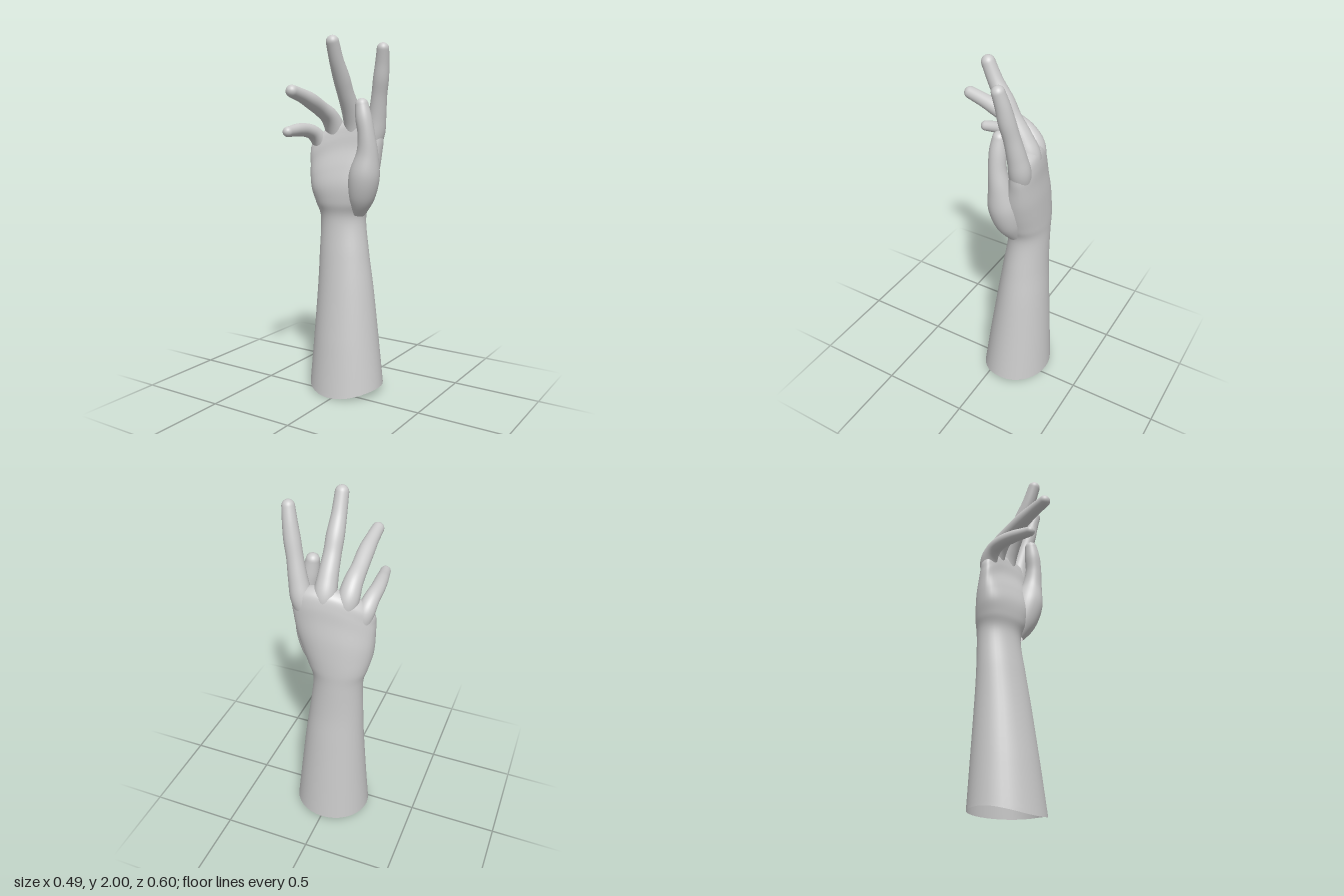
import * as THREE from 'three';

const SKIN = new THREE.MeshStandardMaterial({ color: 0xcccccc, side: THREE.DoubleSide });
const SIDES = 36;

// Smooth interpolation through rows of key values, t from 0 to 1
function sample(keys, t) {
  const f = t * (keys.length - 1);
  const i = Math.min(Math.floor(f), keys.length - 2);
  const u = f - i;
  const row = k => keys[Math.max(0, Math.min(keys.length - 1, k))];
  const [a, b, c, d] = [row(i - 1), row(i), row(i + 1), row(i + 2)];
  return b.map((_, k) => b[k] + 0.5 * u * (c[k] - a[k]
    + u * (2 * a[k] - 5 * b[k] + 4 * c[k] - d[k]
    + u * (3 * (b[k] - c[k]) + d[k] - a[k]))));
}

// Skin over a list of rings with equal point counts
function loft(name, rings) {
  const n = rings[0].length;
  const index = [];
  for (let j = 0; j < rings.length - 1; j++) {
    for (let i = 0; i < n; i++) {
      const a = j * n + i, b = j * n + (i + 1) % n;
      index.push(a, a + n, b, b, a + n, b + n);
    }
  }
  const geometry = new THREE.BufferGeometry().setFromPoints(rings.flat());
  geometry.setIndex(index);
  geometry.computeVertexNormals();
  const mesh = new THREE.Mesh(geometry, SKIN);
  mesh.name = name;
  return mesh;
}

// Forearm, wrist and palm in one skin
// y, right x, left x, back z, front z, palm shaping, squareness exponent
const ARM = [
  [0.045, -0.235, 0.2, -0.3, 0.095, 0, 1],
  [0.3, -0.22, 0.168, -0.285, 0.06, 0, 1],
  [0.6, -0.205, 0.13, -0.265, 0.02, 0, 1],
  [0.8, -0.2, 0.1, -0.25, -0.006, 0, 1],
  [1.0, -0.2, 0.075, -0.245, -0.03, 0, 1],
  [1.1, -0.222, 0.105, -0.247, -0.012, 0.1, 0.95],
  [1.2, -0.238, 0.135, -0.247, -0.01, 0.35, 0.9],
  [1.3, -0.245, 0.155, -0.243, -0.035, 0.6, 0.85],
  [1.4, -0.246, 0.165, -0.232, -0.07, 0.85, 0.8],
  [1.48, -0.245, 0.172, -0.225, -0.085, 1, 0.8],
  [1.535, -0.235, 0.165, -0.21, -0.1, 1, 0.8],
  [1.56, -0.17, 0.11, -0.18, -0.13, 1, 0.9],
  [1.563, -0.03, -0.03, -0.155, -0.155, 1, 1],
];

function armAndPalm() {
  const rings = [];
  const steps = 84;
  for (let j = 0; j <= steps; j++) {
    const [y, x0, x1, z0, z1, w, e] = sample(ARM, j / steps);
    const rim = Math.max(0, 1 - y / 0.3);
    const ring = [];
    for (let i = 0; i < SIDES; i++) {
      const a = (i / SIDES) * Math.PI * 2;
      const c = Math.cos(a), s = Math.sin(a);
      const px = Math.sign(c) * Math.abs(c) ** e;
      const pz = Math.sign(s) * Math.abs(s) ** e;
      const front = Math.max(0, s) ** 2;
      const x = (x0 + x1) / 2 + px * (x1 - x0) / 2;
      // The palm arches forward and slopes down to the little finger, with a hollow in front
      const z = (z0 + z1) / 2 + pz * (z1 - z0) / 2
        + w * (0.5 * x * x - 0.16 * x) - w * 0.012 * front ** 3;
      ring.push(new THREE.Vector3(x, y - w * 1.6 * (x - 0.03) ** 2 - rim * 0.05 * front, z));
    }
    rings.push(ring);
  }
  return loft('forearmAndPalm', rings);
}

// Digit: keys of x, y, z, radius from the buried root to the centre of the round tip
function digit(name, keys) {
  const rings = [];
  const steps = 36, capSteps = 8;
  const normal = new THREE.Vector3(1, 0, 0);
  const addRing = (centre, tangent, r) => {
    const n = normal.clone().addScaledVector(tangent, -normal.dot(tangent)).normalize();
    const b = tangent.clone().cross(n);
    rings.push(Array.from({ length: SIDES }, (_, i) => {
      const a = (i / SIDES) * Math.PI * 2;
      return centre.clone().addScaledVector(n, r * Math.cos(a)).addScaledVector(b, -r * Math.sin(a));
    }));
  };
  const at = t => new THREE.Vector3(...sample(keys, t).slice(0, 3));
  const tangentAt = t => at(Math.min(1, t + 0.01)).sub(at(Math.max(0, t - 0.01))).normalize();
  for (let j = 0; j <= steps; j++) {
    const t = j / steps;
    addRing(at(t), tangentAt(t), sample(keys, t)[3]);
  }
  const tip = at(1), dir = tangentAt(1), r = keys[keys.length - 1][3];
  for (let j = 1; j <= capSteps; j++) {
    const a = (j / capSteps) * Math.PI / 2;
    addRing(tip.clone().addScaledVector(dir, r * Math.sin(a)), dir, r * Math.cos(a));
  }
  return loft(name, rings);
}

const DIGITS = {
  thumb: [
    [0.05, 1.04, -0.11, 0.04], [0.085, 1.14, -0.09, 0.075], [0.112, 1.26, -0.075, 0.085],
    [0.135, 1.38, -0.065, 0.06], [0.136, 1.48, -0.052, 0.047], [0.122, 1.57, -0.047, 0.045],
    [0.11, 1.64, -0.048, 0.036],
  ],
  indexFinger: [
    [0.08, 1.36, -0.155, 0.05], [0.118, 1.48, -0.17, 0.058], [0.14, 1.58, -0.163, 0.05],
    [0.161, 1.69, -0.146, 0.043], [0.18, 1.78, -0.13, 0.043], [0.194, 1.86, -0.117, 0.038],
    [0.207, 1.933, -0.1, 0.033],
  ],
  middleFinger: [
    [0, 1.4, -0.155, 0.05], [0, 1.51, -0.158, 0.06], [0, 1.6, -0.12, 0.053],
    [0, 1.7, -0.06, 0.046], [0, 1.78, -0.018, 0.046], [0.001, 1.87, 0.034, 0.039],
    [0.003, 1.965, 0.076, 0.035],
  ],
  ringFinger: [
    [-0.1, 1.4, -0.14, 0.045], [-0.112, 1.5, -0.13, 0.056], [-0.118, 1.575, -0.078, 0.05],
    [-0.122, 1.618, 0, 0.044], [-0.12, 1.66, 0.1, 0.043], [-0.121, 1.686, 0.18, 0.037],
    [-0.123, 1.708, 0.266, 0.033],
  ],
  littleFinger: [
    [-0.175, 1.34, -0.115, 0.04], [-0.193, 1.43, -0.1, 0.048], [-0.206, 1.483, -0.05, 0.042],
    [-0.212, 1.502, 0.02, 0.038], [-0.206, 1.505, 0.1, 0.035], [-0.198, 1.501, 0.16, 0.031],
    [-0.19, 1.497, 0.215, 0.028],
  ],
};

export function createModel() {
  const group = new THREE.Group();
  group.name = 'hand';
  group.add(armAndPalm());
  for (const [name, keys] of Object.entries(DIGITS)) group.add(digit(name, keys));
  return group;
}
